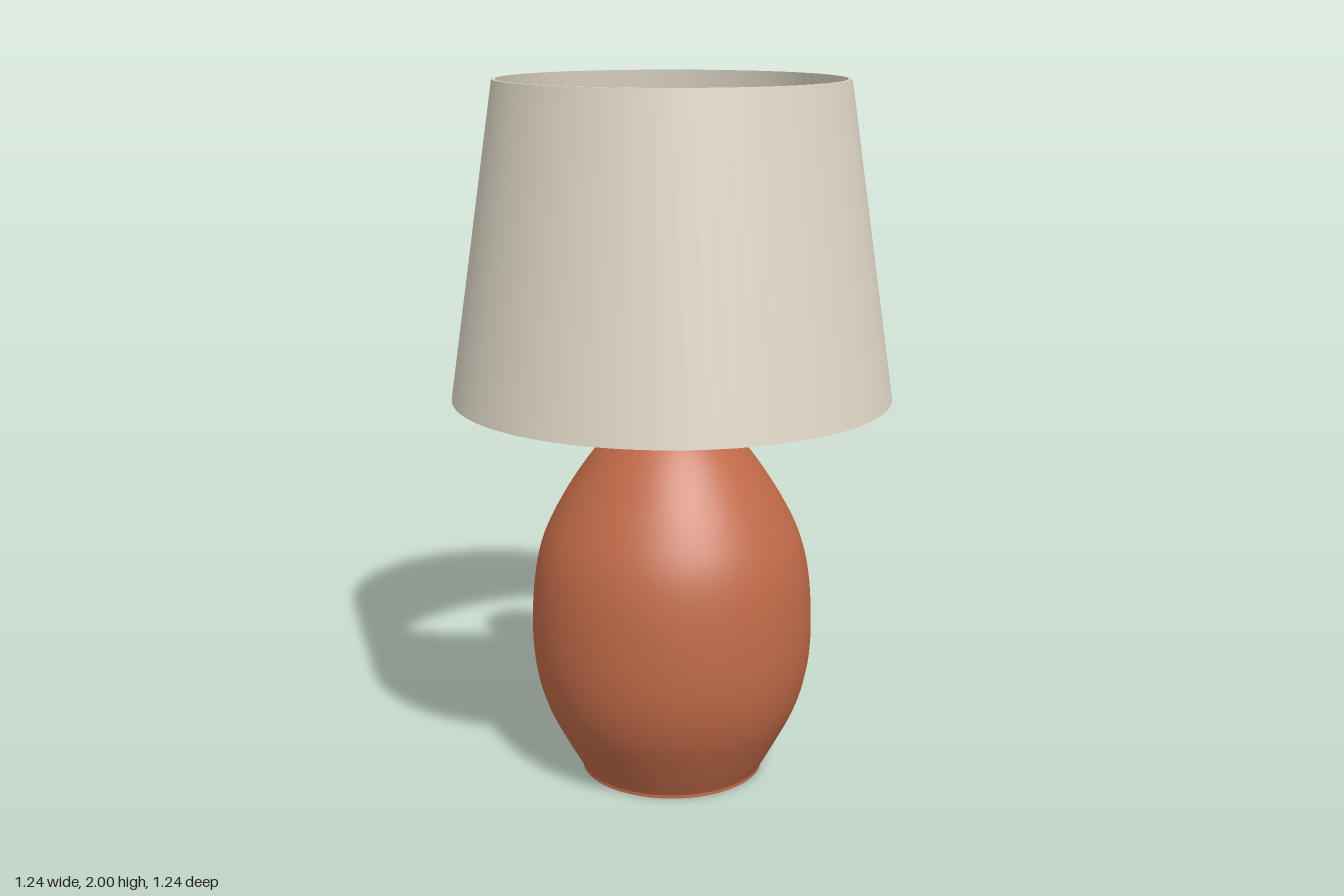
import * as THREE from 'three';
import { mergeGeometries } from 'three/addons/utils/BufferGeometryUtils.js';

const SEGMENTS = 64;
const material = (name, color) => {
  const m = new THREE.MeshStandardMaterial({ color });
  m.name = name;
  return m;
};

// Revolve several [radius, y] runs; the joints between runs stay sharp.
// Runs go bottom to top on the outside, and inward across a top face.
function revolve(runs) {
  return mergeGeometries(runs.map((run) =>
    new THREE.LatheGeometry(run.map(([r, y]) => new THREE.Vector2(r, y)), SEGMENTS)));
}

// Smooth curve through a few profile points
function smooth(points, divisions) {
  const curve = new THREE.SplineCurve(points.map(([r, y]) => new THREE.Vector2(r, y)));
  return curve.getPoints(divisions).map((p) => [p.x, p.y]);
}

export function createModel() {
  const lamp = new THREE.Group();
  lamp.name = 'tableLamp';
  const terracotta = material('terracotta', 0xc06a48);
  const brass = material('brass', 0xb08d50);
  const linen = material('linen', 0xe0d8c8);
  const glass = material('bulbGlass', 0xece5d8);

  const add = (name, geometry, mat) => {
    const mesh = new THREE.Mesh(geometry, mat);
    mesh.name = name;
    lamp.add(mesh);
    return mesh;
  };

  // Egg-shaped ceramic body with a flat foot and a small lip
  const wall = smooth([
    [0.265, 0.01], [0.31, 0.09], [0.365, 0.2], [0.396, 0.31], [0.406, 0.43],
    [0.398, 0.58], [0.372, 0.7], [0.32, 0.81], [0.25, 0.92], [0.185, 1.0], [0.12, 1.058],
  ], 48);
  add('body', revolve([
    [[0, 0], [0.265, 0]],
    [[0.265, 0], [0.265, 0.01]],
    wall,
    [[0.12, 1.058], [0.132, 1.062]],
    [[0.132, 1.062], [0.132, 1.07]],
    [[0.132, 1.07], [0, 1.07]],
  ]), terracotta);

  // Brass stem widening into the bulb socket
  add('stemAndSocket', revolve([
    [[0.063, 1.06], [0.063, 1.29]],
    [[0.063, 1.29], [0.08, 1.325]],
    [[0.08, 1.325], [0.08, 1.4]],
    [[0.08, 1.4], [0, 1.4]],
  ]), brass);

  // Round bulb
  add('bulb', new THREE.SphereGeometry(0.123, 48, 32), glass).position.y = 1.5;

  // Open tapered shade with a thin wall
  add('shade', revolve([
    [[0.62, 1.12], [0.488, 2]],
    [[0.488, 2], [0.478, 2]],
    [[0.478, 2], [0.61, 1.12]],
    [[0.61, 1.12], [0.62, 1.12]],
  ]), linen);

  return lamp;
}
